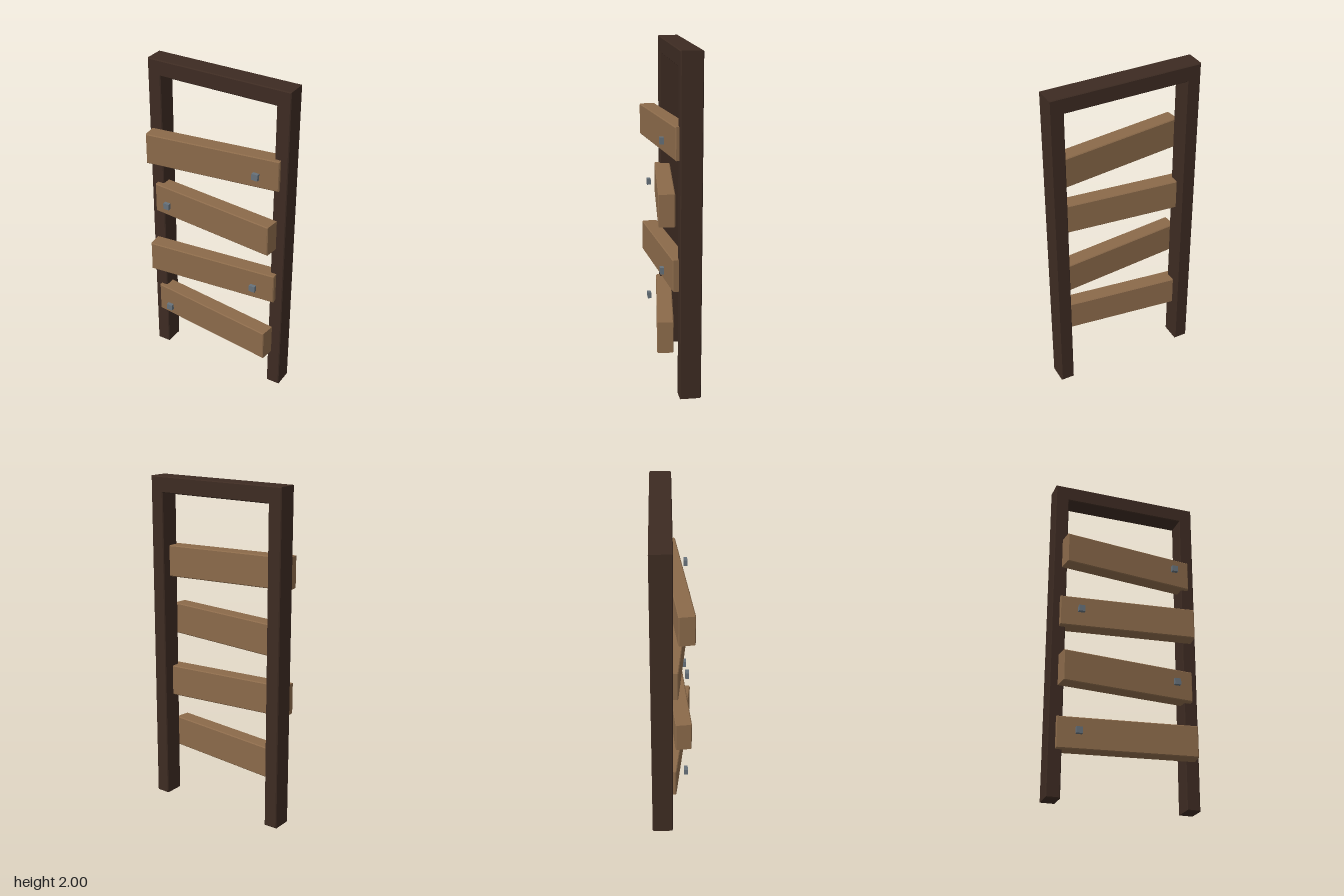
import * as THREE from 'three';

const BEVEL = 0.005;

// Flat outline pulled out in z (centred), with a narrow chamfer kept inside the outline
function chamfered(points, depth) {
  const shape = new THREE.Shape(points.map(([x, y]) => new THREE.Vector2(x, y)));
  const geometry = new THREE.ExtrudeGeometry(shape, {
    depth: depth - 2 * BEVEL, bevelEnabled: true, bevelSegments: 1,
    bevelSize: BEVEL, bevelThickness: BEVEL, bevelOffset: -BEVEL,
  });
  return geometry.translate(0, 0, BEVEL - depth / 2);
}

export function createModel() {
  const model = new THREE.Group();
  model.name = 'plankedFrame';

  const darkWood = new THREE.MeshStandardMaterial({ name: 'darkWood', color: 0x3d2b22 });
  const plankWood = new THREE.MeshStandardMaterial({ name: 'plankWood', color: 0x8b6a4a });
  const steel = new THREE.MeshStandardMaterial({ name: 'steel', color: 0x66717a });

  function add(name, geometry, material, x, y, z) {
    const mesh = new THREE.Mesh(geometry, material);
    mesh.name = name;
    mesh.position.set(x, y, z);
    model.add(mesh);
    return mesh;
  }

  // Two posts joined by a top beam
  const outer = 0.454, inner = 0.371;
  add('doorFrame', chamfered([
    [-outer, 0], [-inner, 0], [-inner, 1.905], [inner, 1.905],
    [inner, 0], [outer, 0], [outer, 2], [-outer, 2],
  ], 0.125), darkWood, 0, 0, -0.0625);

  // Planks nailed askew, alternating in direction, each with one bolt
  const w = 0.41, h = 0.094;
  const plank = chamfered([[-w, -h], [w, -h], [w, h], [-w, h]], 0.095);
  const bolt = new THREE.BoxGeometry(0.038, 0.038, 0.022);
  const rows = [[0.37, -0.124], [0.74, 0.093], [1.12, -0.104], [1.495, 0.124]];
  for (const [y, turn] of rows) {
    add('plank', plank, plankWood, 0, y, 0.0255).rotation.y = turn;
    add('bolt', bolt, steel, 0.297 * Math.sign(turn), y, 0.082);
  }
  return model;
}
